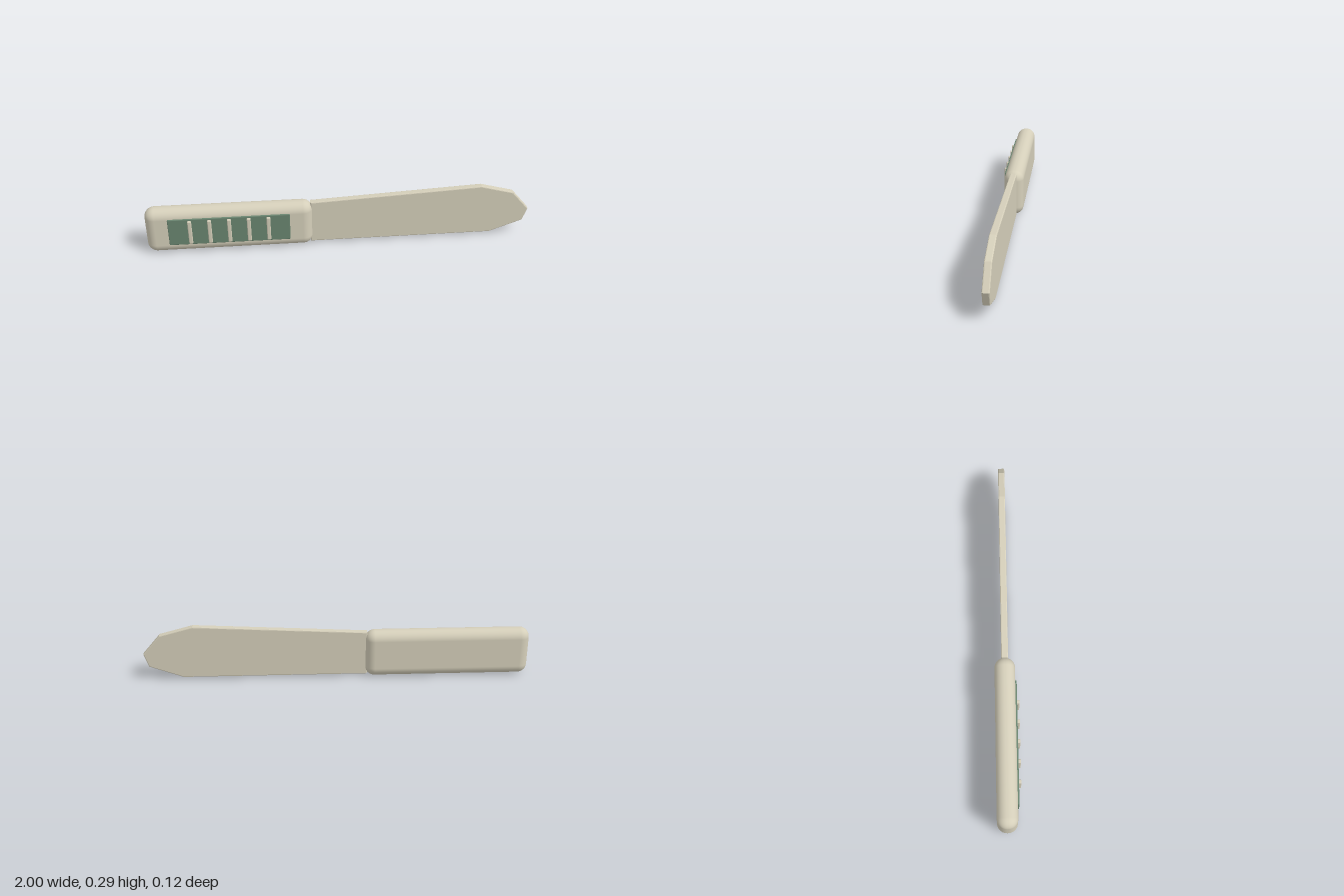
import * as THREE from 'three';
import { RoundedBoxGeometry } from 'three/addons/geometries/RoundedBoxGeometry.js';

export function createModel() {
  const model = new THREE.Group();
  model.name = 'tableKnife';

  const cream = new THREE.MeshStandardMaterial({ color: 0xd5cfba });
  cream.name = 'warm cream';
  const green = new THREE.MeshStandardMaterial({ color: 0x6a8570 });
  green.name = 'muted green';

  // Rounded box given by its limits on each axis
  function block(name, [x0, x1], [y0, y1], [z0, z1], radius, material, segments = 3) {
    const geometry = new RoundedBoxGeometry(x1 - x0, y1 - y0, z1 - z0, segments, radius);
    const mesh = new THREE.Mesh(geometry, material);
    mesh.name = name;
    mesh.position.set((x0 + x1) / 2, (y0 + y1) / 2, (z0 + z1) / 2);
    model.add(mesh);
  }

  // Handle with softly rounded edges
  block('handle', [-1, -0.145], [0, 0.25], [-0.061, 0.043], 0.05, cream, 5);

  // Grip panel with raised ridges on the front
  block('gripPanel', [-0.884, -0.263], [0.054, 0.205], [0.03, 0.05], 0.004, green, 2);
  for (let i = 0; i < 5; i++) {
    const x = -0.773 + i * 0.1;
    block('gripRidge', [x - 0.01, x + 0.01], [0.063, 0.197], [0.04, 0.062], 0.005, cream, 2);
  }

  // Flat blade with a thin bevel; the outline is inset by the bevel
  const bevel = 0.005;
  const outline = [
    [-0.15, 0.013], [0.799, 0.013], [0.97, 0.075], [0.993, 0.14],
    [0.907, 0.239], [0.738, 0.284], [-0.15, 0.238],
  ].map(([x, y]) => new THREE.Vector2(x, y));
  const bladeGeometry = new THREE.ExtrudeGeometry(new THREE.Shape(outline), {
    depth: 0.035 - 2 * bevel,
    bevelEnabled: true,
    bevelThickness: bevel,
    bevelSize: bevel,
    bevelSegments: 2,
  });
  const blade = new THREE.Mesh(bladeGeometry, cream);
  blade.name = 'blade';
  blade.position.z = -0.026 + bevel;
  model.add(blade);

  return model;
}
